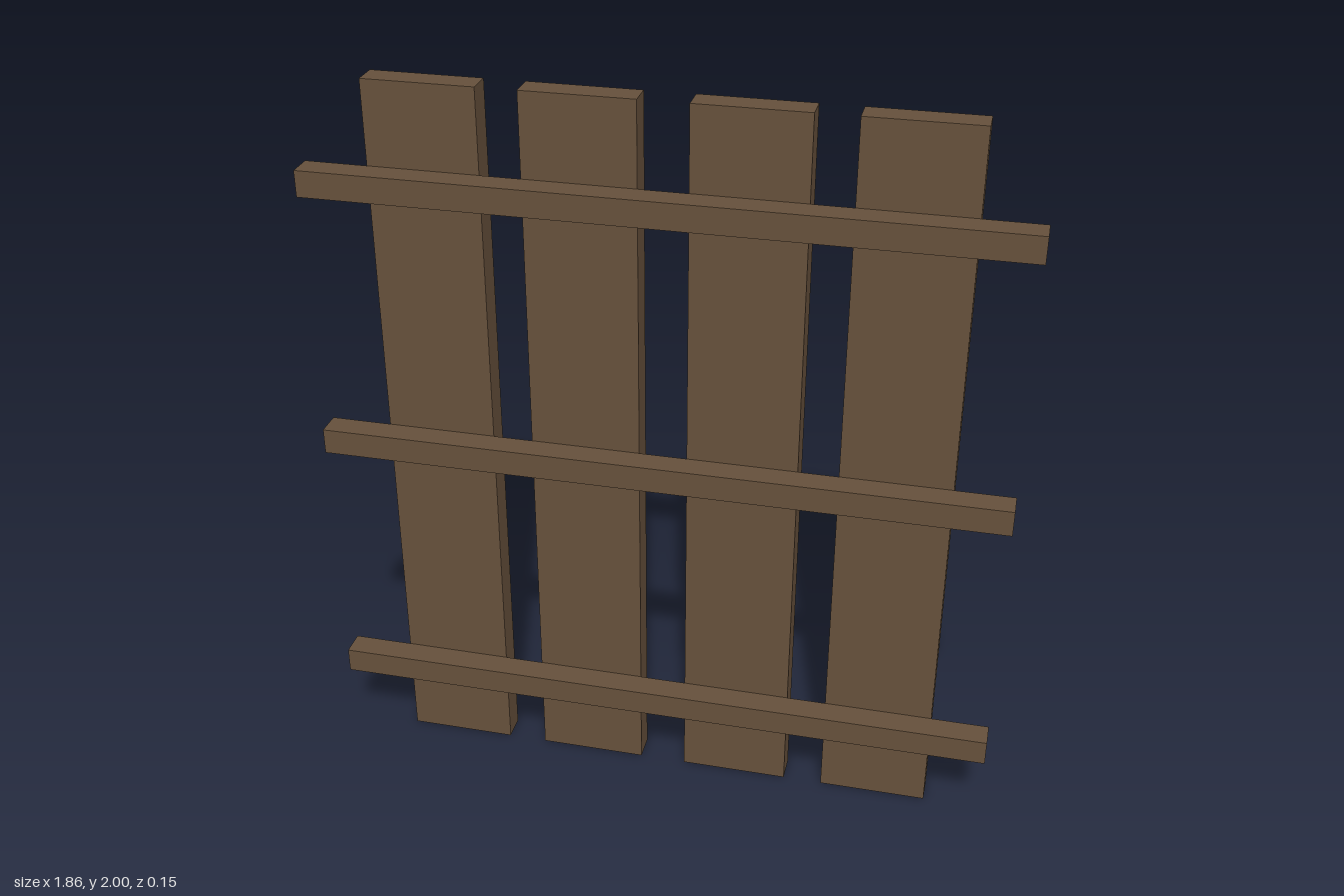
import * as THREE from 'three';

export function createModel() {
  const group = new THREE.Group();
  const wood = new THREE.MeshStandardMaterial({ color: 0x65503b });
  wood.name = 'brownWood';

  const addBoard = (name, size, position) => {
    const board = new THREE.Mesh(new THREE.BoxGeometry(...size), wood);
    board.name = name;
    board.position.set(...position);
    group.add(board);
  };

  // Upright planks, slightly unevenly spaced
  [-0.614, -0.209, 0.217, 0.622].forEach((x, i) =>
    addBoard(`plank${i + 1}`, [0.297, 2, 0.073], [x, 1, -0.0365]));

  // Horizontal rails across the front of the planks
  [0.255, 0.996, 1.739].forEach((y, i) =>
    addBoard(`rail${i + 1}`, [1.858, 0.071, 0.073], [0, y, 0.0365]));

  return group;
}
